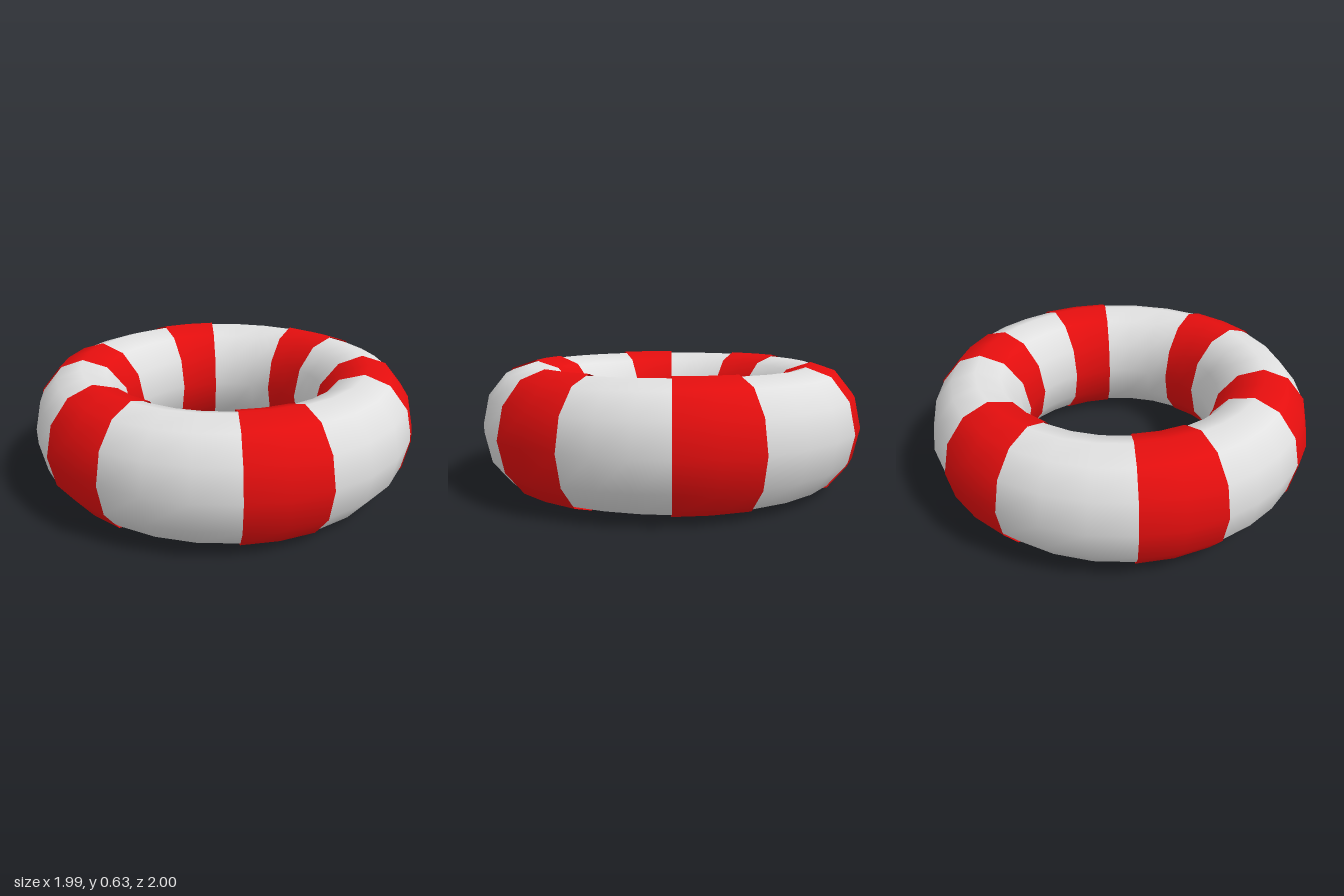
import * as THREE from 'three';
import { mergeGeometries } from 'three/addons/utils/BufferGeometryUtils.js';

const RING_RADIUS = 0.745;
const CENTRE_Y = 0.319;

// Start and end angle of each wrapped band, in degrees counter-clockwise from above
const BANDS = [
  [17, 40.7], [79.3, 102.7], [141, 165.3],
  [196.4, 219.6], [258.2, 282.2], [323, 347.3],
];

// Section of the ring: an oval tube, 12-sided, swept from one angle to another
function ringSection(from, to, segments, halfWidth, halfHeight) {
  const start = THREE.MathUtils.degToRad(from);
  const arc = THREE.MathUtils.degToRad(to - from);
  return new THREE.TorusGeometry(RING_RADIUS, halfWidth, 12, segments, arc)
    .rotateZ(start)
    .rotateX(-Math.PI / 2)
    .scale(1, halfHeight / halfWidth, 1)
    .translate(0, CENTRE_Y, -0.003);
}

export function createModel() {
  const white = new THREE.MeshStandardMaterial({ color: 0xe0e0e0 });
  white.name = 'white';
  const red = new THREE.MeshStandardMaterial({ color: 0xe40e0e, side: THREE.DoubleSide });
  red.name = 'red';

  const model = new THREE.Group();
  model.name = 'lifebuoy';

  // White float ring, its facets lined up with the bands around it
  const sections = [];
  BANDS.forEach(([from, to], i) => {
    const next = i + 1 < BANDS.length ? BANDS[i + 1][0] : BANDS[0][0] + 360;
    sections.push(ringSection(from, to, 2, 0.25, 0.308));
    sections.push(ringSection(to, next, 3, 0.25, 0.308));
  });
  const ring = new THREE.Mesh(mergeGeometries(sections), white);
  ring.name = 'floatRing';
  model.add(ring);

  // Red bands wrapped just outside the ring
  BANDS.forEach(([from, to], i) => {
    const band = new THREE.Mesh(ringSection(from, to, 2, 0.255, 0.317), red);
    band.name = `band${i + 1}`;
    model.add(band);
  });

  return model;
}
